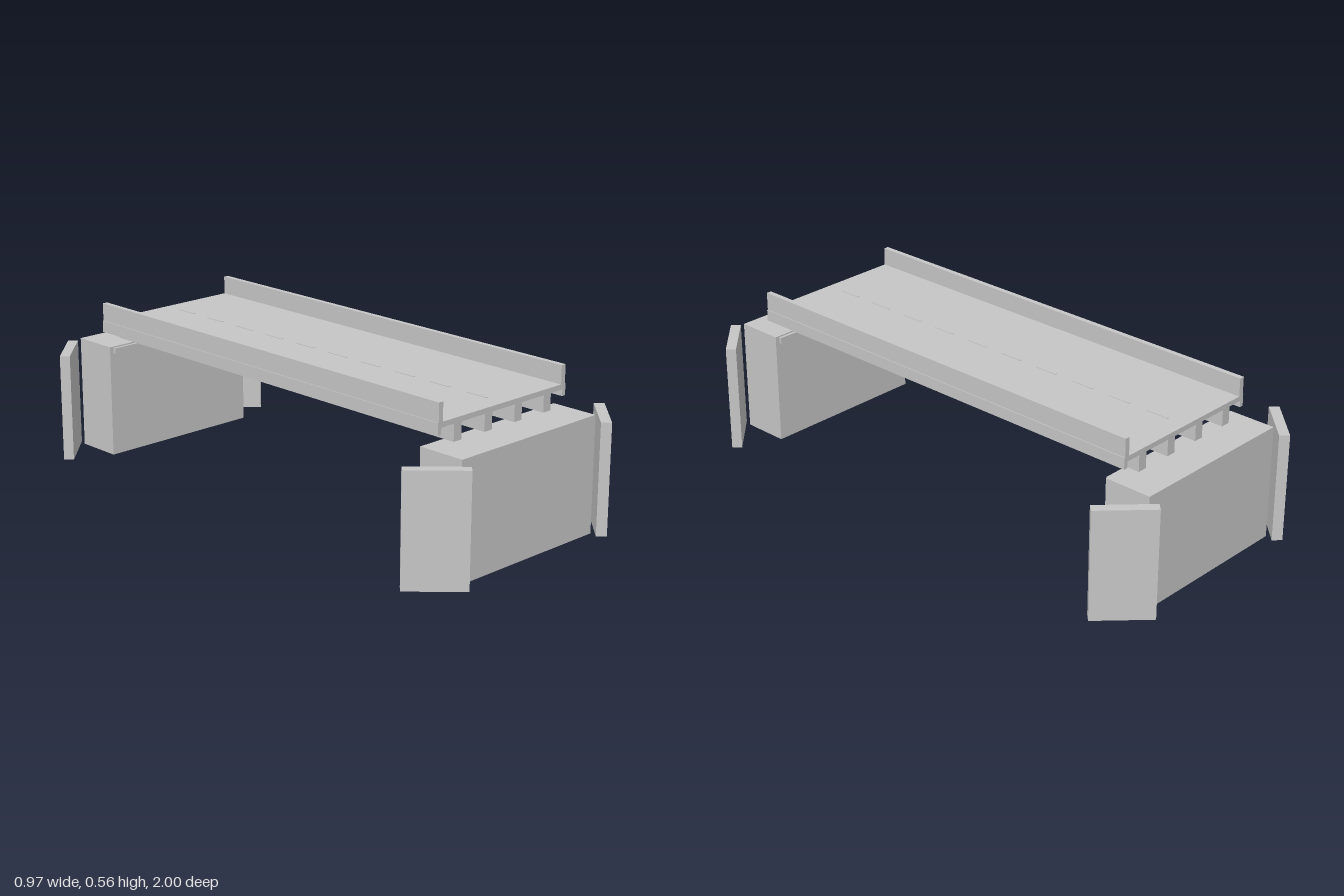
import * as THREE from 'three';

export function createModel() {
  const bridge = new THREE.Group();
  bridge.name = 'roadBridge';
  const concrete = new THREE.MeshStandardMaterial({ color: 0xc6c6c6 });
  concrete.name = 'concrete grey';

  // Box given by its extents on each axis
  function block(name, [x0, x1], [y0, y1], [z0, z1], parent) {
    const mesh = new THREE.Mesh(new THREE.BoxGeometry(x1 - x0, y1 - y0, z1 - z0), concrete);
    mesh.position.set((x0 + x1) / 2, (y0 + y1) / 2, (z0 + z1) / 2);
    mesh.name = name;
    parent.add(mesh);
    return mesh;
  }

  // Deck: slab, girders, parapets and edge beams
  const span = [-0.828, 0.828];
  const deck = new THREE.Group();
  deck.name = 'deck';
  bridge.add(deck);
  block('slab', [-0.301, 0.301], [0.476, 0.494], span, deck);
  for (const x of [-0.213, -0.071, 0.071, 0.213]) {
    block('girder', [x - 0.0175, x + 0.0175], [0.417, 0.476], span, deck);
  }
  for (const s of [-1, 1]) {
    const side = s < 0 ? 'right' : 'left';
    const across = (a, b) => (s < 0 ? [-b, -a] : [a, b]);
    block(side + 'Parapet', across(0.281, 0.3), [0.494, 0.559], span, deck);
    block(side + 'EdgeBeam', across(0.288, 0.303), [0.453, 0.494], span, deck);
  }

  // Dashed centre line
  const dashes = 10, dashLength = 0.085, pitch = 0.159;
  for (let i = 0; i < dashes; i++) {
    const z = (i - (dashes - 1) / 2) * pitch;
    block('laneDash', [-0.004, 0.004], [0.494, 0.496], [z - dashLength / 2, z + dashLength / 2], deck);
  }

  // Abutments at each end, with a bearing lip and splayed wing walls
  for (const end of [1, -1]) {
    const abutment = new THREE.Group();
    abutment.name = end > 0 ? 'frontAbutment' : 'backAbutment';
    bridge.add(abutment);
    const along = (a, b) => (end > 0 ? [a, b] : [-b, -a]);
    block('abutmentWall', [-0.319, 0.319], [0, 0.409], along(0.77, 0.944), abutment);
    block('bearingLip', [-0.303, 0.303], [0.383, 0.404], along(0.76, 0.77), abutment);
    for (const s of [-1, 1]) {
      const wing = new THREE.Mesh(new THREE.BoxGeometry(0.212, 0.392, 0.036), concrete);
      wing.name = s < 0 ? 'rightWingWall' : 'leftWingWall';
      wing.position.set(s * 0.3965, 0.196, end * 0.9125);
      wing.rotation.y = s * end * Math.PI / 4;
      abutment.add(wing);
    }
  }
  return bridge;
}
